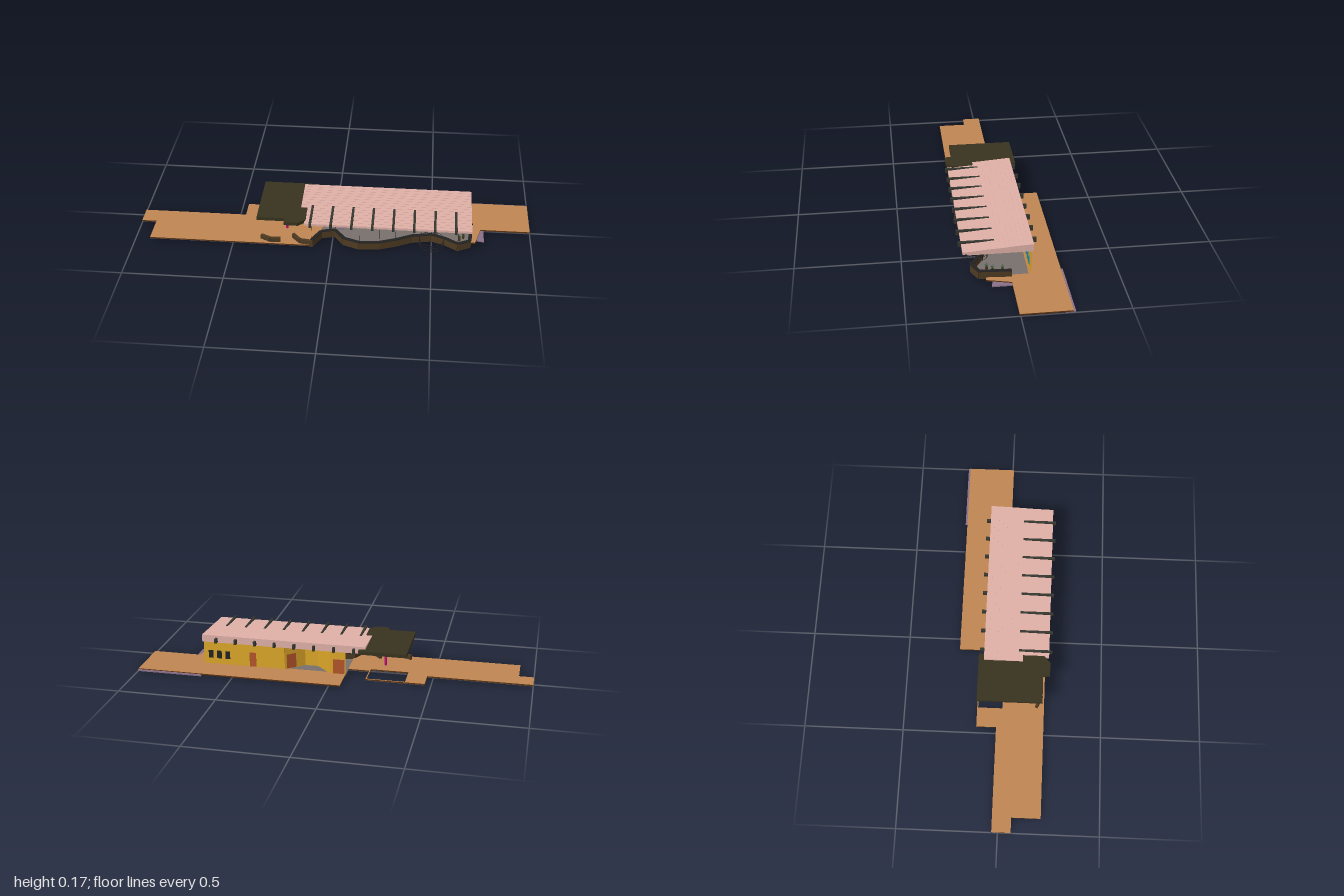
import * as THREE from 'three';

const mat = (color) => new THREE.MeshStandardMaterial({ color, side: THREE.DoubleSide, flatShading: true });
const M = {
  deck: mat(0xc08552), edge: mat(0x5a3210), under: mat(0x555555), tile: mat(0x77706c),
  roof: mat(0xdfb0a7), beam: mat(0x34362f), canopy: mat(0x38331f), wall: mat(0xdca628),
  door: mat(0xb4552a), glass: mat(0x1188c0), stone: mat(0x4d3a22), pole: mat(0x222222),
  post: mat(0xc0107c), leaf: mat(0x1f5a2a), violet: mat(0x8a7088),
};

export function createModel() {
  const model = new THREE.Group();

  const add = (name, geometry, material, x = 0, y = 0, z = 0) => {
    const mesh = new THREE.Mesh(geometry, material);
    mesh.name = name;
    mesh.position.set(x, y, z);
    model.add(mesh);
    return mesh;
  };

  // Box given by its limits on each axis
  const block = (name, x0, x1, y0, y1, z0, z1, material) =>
    add(name, new THREE.BoxGeometry(x1 - x0, y1 - y0, z1 - z0), material,
      (x0 + x1) / 2, (y0 + y1) / 2, (z0 + z1) / 2);

  // Flat slab from a plan outline of [x, z] points
  const slab = (name, outline, y0, y1, material, hole) => {
    const toPlan = (pts) => pts.map(([x, z]) => new THREE.Vector2(x, -z));
    const shape = new THREE.Shape(toPlan(outline));
    if (hole) shape.holes.push(new THREE.Path(toPlan(hole)));
    const g = new THREE.ExtrudeGeometry(shape, { depth: y1 - y0, bevelEnabled: false });
    g.rotateX(-Math.PI / 2);
    return add(name, g, material, 0, y0, 0);
  };

  // Upright panel between two plan points, optionally only from t0 to t1 along it
  const panel = (name, a, b, y0, y1, thick, material, t0 = 0, t1 = 1) => {
    const dx = b[0] - a[0], dz = b[1] - a[1], tm = (t0 + t1) / 2;
    const mesh = add(name, new THREE.BoxGeometry(Math.hypot(dx, dz) * (t1 - t0), y1 - y0, thick), material,
      a[0] + dx * tm, (y0 + y1) / 2, a[1] + dz * tm);
    mesh.rotation.y = -Math.atan2(dz, dx);
    return mesh;
  };

  const rod = (name, x, z, y0, y1, r, material, sides = 6) =>
    add(name, new THREE.CylinderGeometry(r, r, y1 - y0, sides), material, x, (y0 + y1) / 2, z);

  // Side deck with an open court, on a grey base with a dark edge
  const sideDeck = [[-1, -0.03], [-0.47, -0.03], [-0.47, -0.13], [-0.17, -0.13], [-0.17, -0.02],
    [-0.06, -0.02], [-0.06, 0.12], [-0.1, 0.21], [-0.925, 0.21], [-0.925, 0.065], [-1, 0.065]];
  const court = [[-0.37, -0.125], [-0.175, -0.125], [-0.175, 0.0], [-0.37, 0.0]];
  slab('sideDeckBase', sideDeck, 0.004, 0.006, M.under, court);
  slab('sideDeckEdge', sideDeck, 0.006, 0.012, M.edge, court);
  slab('sideDeckTop', sideDeck, 0.012, 0.013, M.deck, court);

  // Rear deck
  const rearDeck = [[-0.06, -0.235], [1, -0.235], [1, 0.005], [0.75, 0.005], [0.72, 0.12],
    [0.69, 0.12], [0.69, -0.08], [-0.06, -0.08]];
  slab('rearDeckEdge', rearDeck, 0.005, 0.012, M.edge);
  slab('rearDeckTop', rearDeck, 0.012, 0.013, M.deck);
  slab('lowerStep', [[0.66, -0.245], [1, -0.245], [1, -0.2], [0.66, -0.2]], 0.001, 0.008, M.violet);
  slab('lowerRamp', [[0.75, 0], [0.765, 0], [0.765, 0.1], [0.72, 0.09]], 0.001, 0.007, M.violet);

  // Terrace with a winding front edge
  const front = [[-0.1, 0.21], [-0.06, 0.13], [0.01, 0.11], [0.06, 0.18], [0.14, 0.21], [0.24, 0.2],
    [0.32, 0.17], [0.4, 0.13], [0.5, 0.11], [0.57, 0.14], [0.63, 0.18], [0.69, 0.15], [0.7, 0.0]];
  slab('terraceFloor', [...front, [0.69, -0.09], [-0.06, -0.09], [-0.06, 0.1]], 0, 0.011, M.tile);
  for (let i = 0; i < front.length - 1; i++) {
    panel('terraceWall', front[i], front[i + 1], 0.004, 0.043, 0.014, M.stone);
    panel('terraceCoping', front[i], front[i + 1], 0.043, 0.046, 0.018, M.pole);
  }

  // Round railed bay in front of the terrace
  const bay = [0.5, 0.15], bayR = 0.062;
  for (const y of [0.012, 0.028, 0.044]) {
    const ring = new THREE.TorusGeometry(bayR, 0.0014, 4, 20);
    ring.rotateX(Math.PI / 2);
    add('bayRail', ring, M.pole, bay[0], y, bay[1]);
  }
  for (let i = 0; i < 12; i++) {
    const a = (i / 12) * Math.PI * 2;
    rod('bayRailPost', bay[0] + bayR * Math.cos(a), bay[1] + bayR * Math.sin(a), 0.006, 0.045, 0.0014, M.pole);
  }

  // Folded house wall
  const plan = [[0.69, -0.09], [0.26, -0.09], [0.17, -0.01], [0.1, -0.01], [0.02, -0.09], [-0.06, -0.09]];
  for (let i = 0; i < plan.length - 1; i++)
    panel('houseWall', plan[i], plan[i + 1], 0.008, 0.14, 0.004, M.wall);

  // Doors and windows, showing on both faces of the wall
  block('door', 0.41, 0.445, 0.013, 0.09, -0.093, -0.087, M.door);
  panel('angledDoor', plan[1], plan[2], 0.013, 0.09, 0.006, M.door, 0.1, 0.55);
  block('endDoor', -0.055, 0.005, 0.013, 0.09, -0.093, -0.087, M.door);
  for (const x of [0.55, 0.595, 0.64]) {
    block('windowPane', x, x + 0.025, 0.044, 0.086, -0.091, -0.085, M.glass);
    block('windowBack', x, x + 0.025, 0.044, 0.086, -0.094, -0.091, M.pole);
  }

  // Shallow tiled roof in stepped courses, rising to the back
  const rows = 15, zFront = 0.225, zBack = -0.103;
  for (let i = 0; i < rows; i++) {
    const z1 = zFront + (zBack - zFront) * (i / rows);
    const z0 = zFront + (zBack - zFront) * ((i + 1) / rows);
    const top = 0.151 + 0.022 * ((i + 0.7) / rows);
    block('roofCourse', z1 > 0.11 ? -0.135 : -0.163, 0.694, i ? 0.135 : 0.14, top, z0, z1, M.roof);
  }

  // Roof beams showing through at the front and back
  for (let i = 0; i < 8; i++) {
    const x = -0.105 + i * 0.103;
    block('roofBeam', x - 0.006, x + 0.006, 0.138, 0.1615, -0.125, 0.24, M.beam);
  }

  // Entrance canopy with a cut-cornered lobe
  slab('canopy', [[-0.375, -0.13], [-0.13, -0.13], [-0.13, 0.2], [-0.165, 0.232], [-0.235, 0.232],
    [-0.235, 0.198], [-0.375, 0.198]], 0.142, 0.16, M.canopy);
  rod('canopyPost', -0.24, 0.07, 0.01, 0.143, 0.006, M.post, 12);

  // Slim poles under the front eave
  for (const [x, z] of [[-0.1, 0.205], [0.01, 0.11], [0.14, 0.205], [0.24, 0.19], [0.32, 0.165],
    [0.45, 0.12], [0.515, 0.11], [0.63, 0.175]]) rod('eavePole', x, z, 0.01, 0.137, 0.0011, M.pole);

  // Low bench walls beside the entrance
  const benches = [[-0.36, 0.17], [-0.31, 0.195], [-0.26, 0.19], null,
    [-0.2, 0.15], [-0.16, 0.195], [-0.1, 0.205]];
  for (let i = 0; i < benches.length - 1; i++)
    if (benches[i] && benches[i + 1])
      panel('benchWall', benches[i], benches[i + 1], 0.012, 0.037, 0.014, M.stone);

  // Terrace seats
  for (const x of [0.03, 0.045]) {
    block('seat', x - 0.006, x + 0.006, 0.011, 0.04, 0.05, 0.062, M.violet);
    block('seatBack', x - 0.006, x + 0.006, 0.04, 0.07, 0.05, 0.052, M.violet);
  }

  // Potted plants with spread leaves
  for (const [x, z] of [[0.64, 0.11], [0.66, 0.085], [0.66, 0.038]]) {
    add('plantPot', new THREE.CylinderGeometry(0.007, 0.005, 0.02, 8), M.stone, x, 0.021, z);
    for (let i = 0; i < 7; i++) {
      const leaf = new THREE.ConeGeometry(0.0015, 0.024, 4);
      leaf.translate(0, 0.012, 0);
      leaf.rotateZ(0.45);
      leaf.rotateY((i / 7) * Math.PI * 2);
      add('plantLeaf', leaf, M.leaf, x, 0.03, z);
    }
  }

  return model;
}
